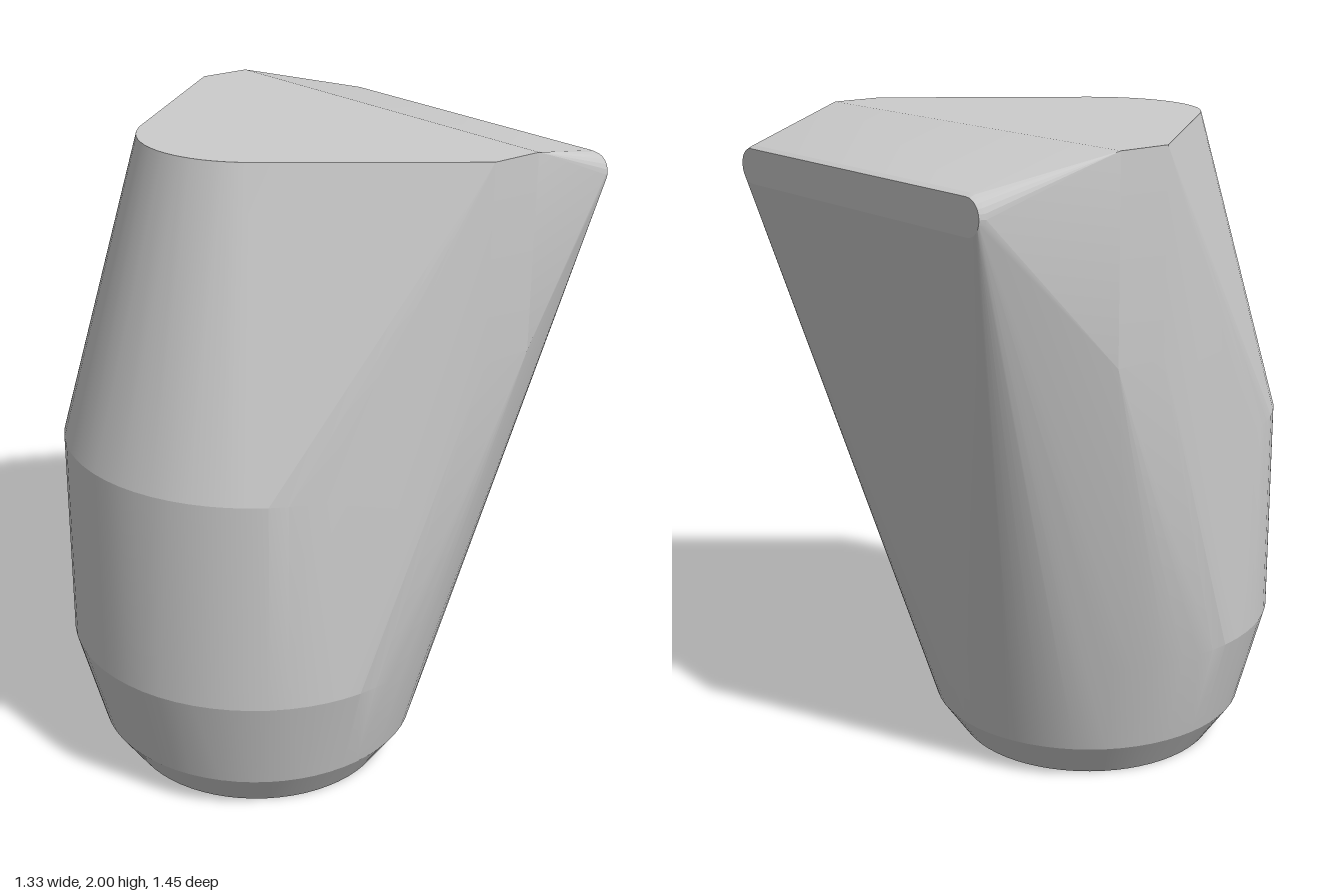
import * as THREE from 'three';
import { ConvexGeometry } from 'three/addons/geometries/ConvexGeometry.js';
import { toCreasedNormals } from 'three/addons/utils/BufferGeometryUtils.js';

const AXIS_Z = 0.142;

// Horizontal ring of points around the body axis
function ring(y, r, n = 64) {
  return Array.from({ length: n }, (_, i) => {
    const a = (i / n) * Math.PI * 2;
    return new THREE.Vector3(r * Math.sin(a), y, AXIS_Z + r * Math.cos(a));
  });
}

// Upright circle at one end of the narrow back edge
function endCircle(x, z, r, n = 24) {
  return Array.from({ length: n }, (_, i) => {
    const a = (i / n) * Math.PI * 2;
    return new THREE.Vector3(x + r * Math.cos(a), 1.855 + r * Math.sin(a), z);
  });
}

export function createModel() {
  const points = [
    // Chamfered foot, round barrel and the smaller round nose of the top
    ...ring(0, 0.417),
    ...ring(0.12, 0.5),
    ...ring(0.43, 0.583),
    ...ring(1.09, 0.583),
    ...ring(2, 0.333),
  ];
  for (const s of [-1, 1]) {
    // Flat vertical cheeks at the widest place
    for (const y of [1.42, 2]) {
      for (const z of [-0.167, -0.333]) points.push(new THREE.Vector3(s * 0.667, y, z));
    }
    // Rounded ends of the overhanging back edge, slightly bevelled
    points.push(...endCircle(s * 0.525, -0.707, 0.06), ...endCircle(s * 0.525, -0.724, 0.052));
  }

  // One convex skin stretched over all the sections
  const skin = toCreasedNormals(new ConvexGeometry(points), 0.2);
  const body = new THREE.Mesh(skin, new THREE.MeshStandardMaterial({ color: 0xcccccc }));
  body.name = 'body';

  const group = new THREE.Group();
  group.name = 'taperedBlock';
  group.add(body);
  return group;
}
